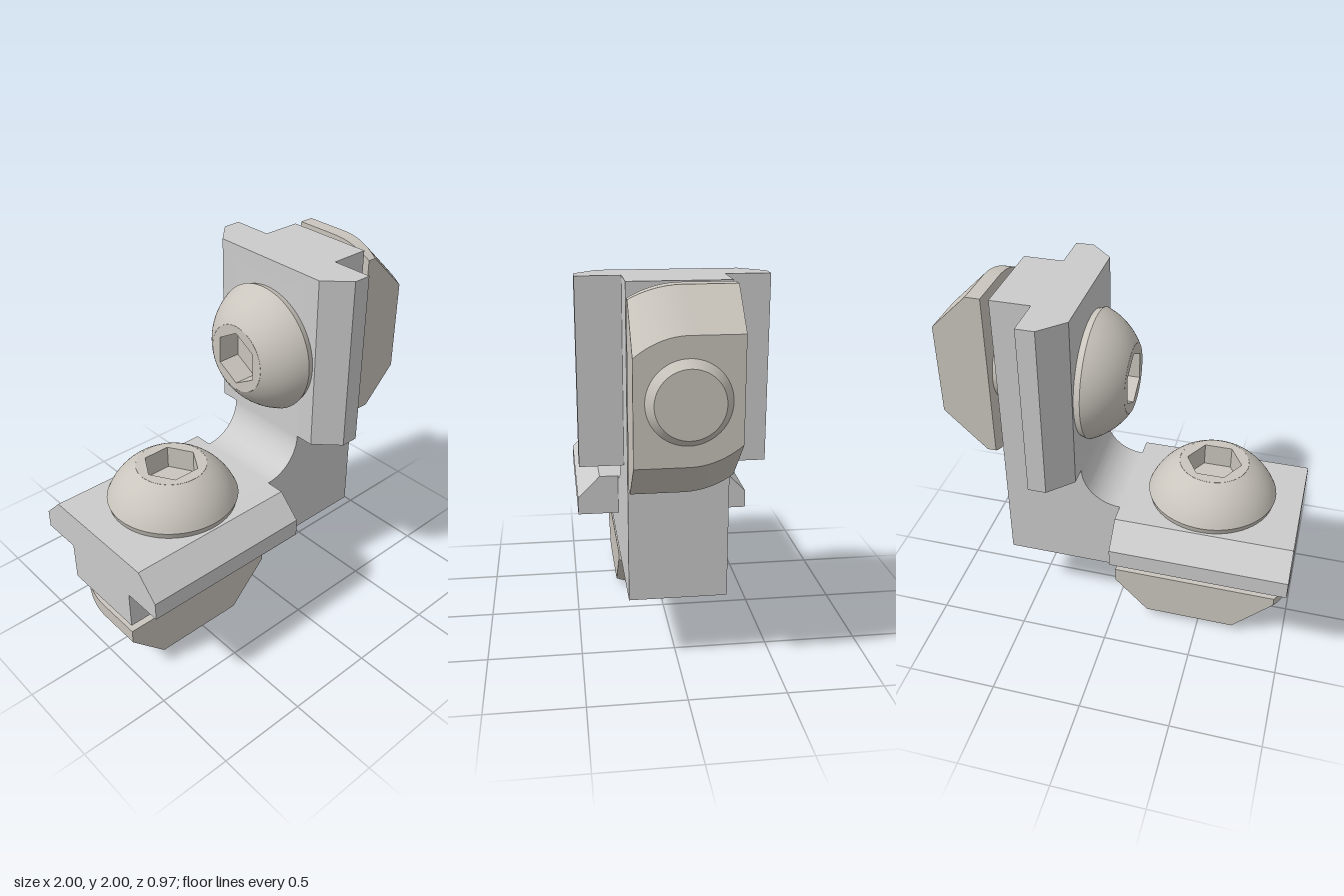
import * as THREE from 'three';
import { toCreasedNormals } from 'three/addons/utils/BufferGeometryUtils.js';

const grey = new THREE.MeshStandardMaterial({ color: 0xcccccc });
const steel = new THREE.MeshStandardMaterial({ color: 0xcac5bd });

const SCREW_X = -0.5; // screw axis along the horizontal arm
const HALF_W = 0.255; // half width of bracket and nuts

function part(name, geometry, material) {
  const mesh = new THREE.Mesh(toCreasedNormals(geometry, 0.45), material);
  mesh.name = name;
  return mesh;
}

const polygon = (pts) => new THREE.Shape(pts.map(([x, y]) => new THREE.Vector2(x, y)));

function lathe(pts) {
  return new THREE.LatheGeometry(pts.map(([r, y]) => new THREE.Vector2(r, y)), 64);
}

// L-shaped body with a concave fillet in the inner corner
function bracketBody() {
  const s = polygon([[-1, 0.37], [0.63, 0.37], [0.63, 2], [0.185, 2], [0.185, 1.03]]);
  s.absarc(-0.03, 1.03, 0.215, 0, -Math.PI / 2, true);
  s.lineTo(-1, 0.815);
  const g = new THREE.ExtrudeGeometry(s, { depth: 2 * HALF_W, bevelEnabled: false, curveSegments: 20 });
  g.translate(0, 0, -HALF_W);
  return part('bracketBody', g, grey);
}

// Chamfered rail along one side of an arm
function flange(side) {
  const pts = [[HALF_W, 0.59], [0.485, 0.59], [0.485, 0.69], [0.36, 0.815], [HALF_W, 0.815]];
  const s = polygon(pts.map(([z, y]) => [z * side, y]));
  const g = new THREE.ExtrudeGeometry(s, { depth: 0.97, bevelEnabled: false });
  g.rotateY(-Math.PI / 2).translate(-0.03, 0, 0);
  return part(side > 0 ? 'leftFlange' : 'rightFlange', g, grey);
}

// Button head screw with a hexagonal socket
function screw() {
  const group = new THREE.Group();
  group.name = 'screw';

  const head = [[0, 0.815], [0.345, 0.815], [0.355, 0.85]];
  const a0 = Math.atan2(0.142, 0.355), a1 = Math.atan2(0.332, 0.19);
  for (let i = 1; i <= 14; i++) {
    const a = a0 + ((a1 - a0) * i) / 14;
    head.push([0.382 * Math.cos(a), 0.708 + 0.382 * Math.sin(a)]);
  }
  group.add(part('screwHead', lathe(head), steel));

  // Flat top ring with the socket walls
  const ring = new THREE.Shape().absarc(0, 0, 0.189, 0, Math.PI * 2);
  const hex = [];
  for (let i = 0; i < 6; i++) {
    const a = (i * Math.PI) / 3;
    hex.push(new THREE.Vector2(0.15 * Math.cos(a), 0.15 * Math.sin(a)));
  }
  ring.holes.push(new THREE.Path([...hex, hex[0].clone()]));
  const socket = new THREE.ExtrudeGeometry(ring, { depth: 0.13, bevelEnabled: false, curveSegments: 32 });
  socket.rotateX(-Math.PI / 2).translate(0, 0.91, 0);
  group.add(part('socketRing', socket, steel));

  const floor = new THREE.CircleGeometry(0.17, 32);
  floor.rotateX(-Math.PI / 2).translate(0, 0.912, 0);
  group.add(part('socketFloor', floor, steel));

  // Shank with a chamfered tip
  group.add(part('screwShank', lathe([[0, 0], [0.165, 0], [0.202, 0.045], [0.202, 0.815]]), steel));

  group.position.x = SCREW_X;
  return group;
}

// Twist-in slot nut: sloped ends, two diagonally opposite corners rounded
function slotNut() {
  const section = (z) => {
    const drop = 0.5 - Math.sqrt(0.25 - z * z);
    const end = (round) => {
      const d = round ? drop : 0;
      return { edge: 0.5 - d, tip: 0.305 - 1.4 * d, knee: 0.245 + 0.45 * d };
    };
    const r = end(z > 0), l = end(z < 0);
    return [
      [-l.tip, 0.045, z], [r.tip, 0.045, z], [r.edge, r.knee, z],
      [r.edge, 0.325, z], [-l.edge, 0.325, z], [-l.edge, l.knee, z],
    ];
  };
  const N = 24, pos = [];
  const tri = (a, b, c) => pos.push(...a, ...b, ...c);
  const rows = [];
  for (let i = 0; i <= N; i++) rows.push(section(HALF_W * ((2 * i) / N - 1)));
  for (let i = 0; i < N; i++) {
    for (let j = 0; j < 6; j++) {
      const k = (j + 1) % 6, p = rows[i], q = rows[i + 1];
      tri(p[j], p[k], q[k]);
      tri(p[j], q[k], q[j]);
    }
  }
  for (let j = 1; j < 5; j++) {
    tri(rows[N][0], rows[N][j], rows[N][j + 1]);
    tri(rows[0][0], rows[0][j + 1], rows[0][j]);
  }
  const g = new THREE.BufferGeometry();
  g.setAttribute('position', new THREE.Float32BufferAttribute(pos, 3));
  const mesh = part('slotNut', g, steel);
  mesh.position.x = SCREW_X;
  return mesh;
}

// Everything that repeats on each arm, laid out for the horizontal one
function arm(name) {
  const group = new THREE.Group();
  group.name = name;
  group.add(flange(1), flange(-1), screw(), slotNut());
  return group;
}

export function createModel() {
  const model = new THREE.Group();
  model.name = 'cornerBracket';
  model.add(bracketBody(), arm('horizontalArm'));

  // Half turn about the bracket's diagonal carries one arm onto the other
  const upright = arm('verticalArm');
  upright.quaternion.setFromAxisAngle(new THREE.Vector3(1, -1, 0).normalize(), Math.PI);
  upright.position.set(1, 1, 0);
  model.add(upright);
  return model;
}
